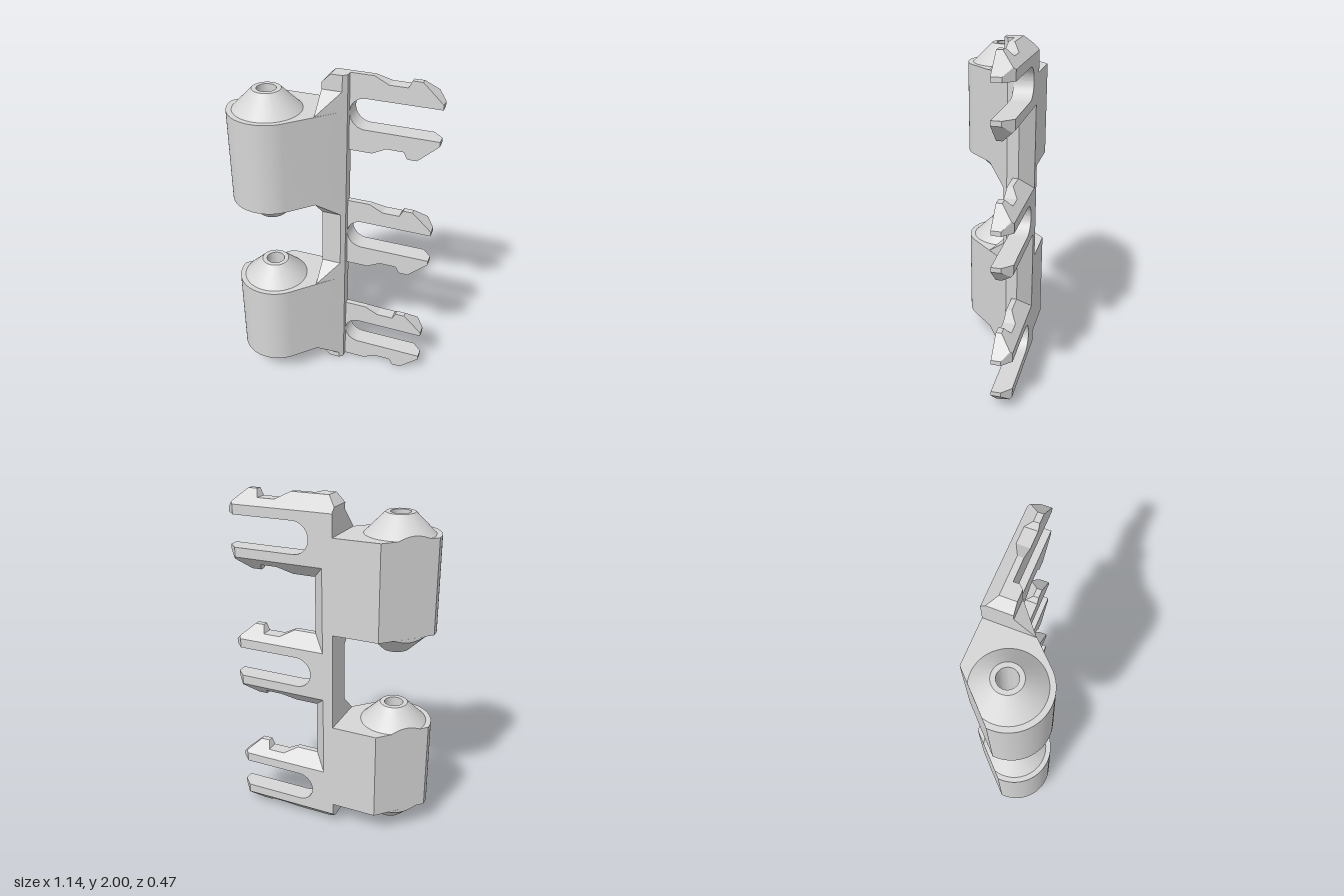
import * as THREE from 'three';
import { toCreasedNormals } from 'three/addons/utils/BufferGeometryUtils.js';

const CX = -0.348, CZ = 0.014;  // pivot axis of the barrels
const CUT = 0.17;               // distance from the axis to the slanted back cut
const BACK = -0.238;
const BORE = 0.054;
const HALF = 0.223;             // half height of a forked clip

// Solid through convex cross-sections with equal point counts, oriented outward
function loft(sections) {
  const tris = [];
  const add = (a, b, c) => {
    const n = b.clone().sub(a).cross(c.clone().sub(a));
    if (n.length() > 1e-9) tris.push([a, b, c]);
  };
  const s = sections.map(sec => sec.map(p => new THREE.Vector3(...p)));
  const n = s[0].length;
  for (let i = 0; i < s.length - 1; i++) {
    for (let j = 0; j < n; j++) {
      const k = (j + 1) % n;
      add(s[i][j], s[i][k], s[i + 1][k]);
      add(s[i][j], s[i + 1][k], s[i + 1][j]);
    }
  }
  const last = s[s.length - 1];
  for (let j = 1; j < n - 1; j++) {
    add(s[0][0], s[0][j + 1], s[0][j]);
    add(last[0], last[j], last[j + 1]);
  }
  let volume = 0;
  for (const [a, b, c] of tris) volume += a.dot(b.clone().cross(c));
  const pts = tris.flatMap(([a, b, c]) => (volume < 0 ? [a, c, b] : [a, b, c]));
  return toCreasedNormals(new THREE.BufferGeometry().setFromPoints(pts), 0.45);
}

// Upright strip with bevelled ends and a bevelled rear edge
function spineGeometry() {
  return loft([0, 0.05, 0.078, 1.922, 1.95, 2].map(y => {
    const end = Math.min(y, 2 - y);
    const left = -0.07 + Math.max(0, 0.05 - end);
    const d = Math.max(0, 0.078 - end);
    return [[left, BACK + d], [-0.01 + d, BACK + d], [0.068, -0.16],
      [0.068, -0.093], [0.045, -0.07], [left, -0.07]].map(([x, z]) => [x, y, z]);
  }));
}

// One half of a forked clip: notched outer edge, rounded slot, bevelled back
function prongGeometry(side) {
  const outline = [[-0.01, HALF], [0.2, HALF], [0.28, 0.183], [0.38, 0.183], [0.4, HALF],
    [0.455, HALF], [0.515, 0.168], [0.525, 0.159], [0.57, 0.117]];
  const r = 0.09, slotX = 0.158;
  const stations = [outline[0]];
  for (let i = 0; i <= 10; i++) stations.push([slotX - r * Math.cos(i * Math.PI / 20), HALF]);
  stations.push(...outline.slice(1));
  return loft(stations.map(([x, h]) => {
    const dx = Math.min(r, Math.max(0, slotX - x));
    const slot = Math.sqrt(Math.max(0, r * r - dx * dx));
    const bevel = HALF + 0.16;
    const zb = Math.min(-BACK, 0.753 - x);
    const zc = Math.min(zb, bevel - h);
    const hb = Math.min(h, bevel - zb);
    return [[slot, 0.127], [h, 0.127], [h, zc], [hb, zb], [slot, zb]]
      .map(([y, z]) => [x, side * y, -z]);
  }));
}

// Barrel and web as one extruded plan with the pin hole
function barrelGeometry(height) {
  const plan = new THREE.Shape();
  plan.moveTo(0.045, 0.07);
  plan.lineTo(-0.07, 0.07);
  plan.lineTo(-0.07, -BACK);
  plan.lineTo(-0.336, -BACK);
  plan.lineTo(-0.57, 0.004);
  plan.absarc(CX, -CZ, 0.222, Math.PI, 1.75 * Math.PI, false);
  plan.closePath();
  const hole = new THREE.Path();
  hole.absarc(CX, -CZ, BORE, 0, 2 * Math.PI, false);
  plan.holes.push(hole);
  const g = new THREE.ExtrudeGeometry(plan, { depth: height, bevelEnabled: false, curveSegments: 32 });
  g.rotateX(-Math.PI / 2);
  return toCreasedNormals(g, 0.45);
}

// Hollow cone, trimmed flush with the slanted back cut
function coneGeometry(side) {
  const R = 0.192, tip = 0.08, H = 0.112;
  const profile = [[BORE, 0], [R, 0], [R, 0], [tip, H], [BORE, H], [BORE, 0]]
    .map(([r, y]) => new THREE.Vector2(r, side * y));
  if (side < 0) profile.reverse();
  const g = new THREE.LatheGeometry(profile, 64);
  const p = g.attributes.position, n = profile.length;
  const liftRow = side > 0 ? 2 : n - 3;
  for (let i = 0; i < p.count; i++) {
    const x = p.getX(i), z = p.getZ(i);
    const d = -(x + z) / Math.SQRT2;
    if (d <= CUT) continue;
    const k = CUT / d;
    p.setX(i, x * k);
    p.setZ(i, z * k);
    if (i % n === liftRow) p.setY(i, side * (R - R * k) * H / (R - tip));
  }
  g.translate(CX, 0, CZ);
  return toCreasedNormals(g, 0.45);
}

// Small brace: its slanted side continues the web, its top slopes up to the spine
function gussetGeometry(side) {
  const h = side * 0.112;
  return loft([
    [[-0.07, 0, 0.044], [0.045, 0, -0.07], [-0.07, 0, -0.07]],
    [[-0.07, h, -0.07], [0.045, h, -0.07], [-0.07, h, -0.07]],
  ]);
}

export function createModel() {
  const grey = new THREE.MeshStandardMaterial({ color: 0xd6d6d6 });
  grey.name = 'light grey plastic';
  const model = new THREE.Group();
  model.name = 'hingeClip';
  const add = (name, geometry, y = 0) => {
    const mesh = new THREE.Mesh(geometry, grey);
    mesh.name = name;
    mesh.position.y = y;
    model.add(mesh);
  };

  add('spine', spineGeometry());

  // Two hinge knuckles
  for (const [name, bottom, top] of [['lower', 0.15, 0.687], ['upper', 1.262, 1.799]]) {
    add(name + 'Barrel', barrelGeometry(top - bottom), bottom);
    for (const [end, y, side] of [['Bottom', bottom, -1], ['Top', top, 1]]) {
      add(name + end + 'Cone', coneGeometry(side), y);
      add(name + end + 'Gusset', gussetGeometry(side), y);
    }
  }

  // Three forked clips
  for (const [name, y] of [['bottom', HALF], ['middle', 1], ['top', 2 - HALF]]) {
    add(name + 'ClipUpperProng', prongGeometry(1), y);
    add(name + 'ClipLowerProng', prongGeometry(-1), y);
  }
  return model;
}
